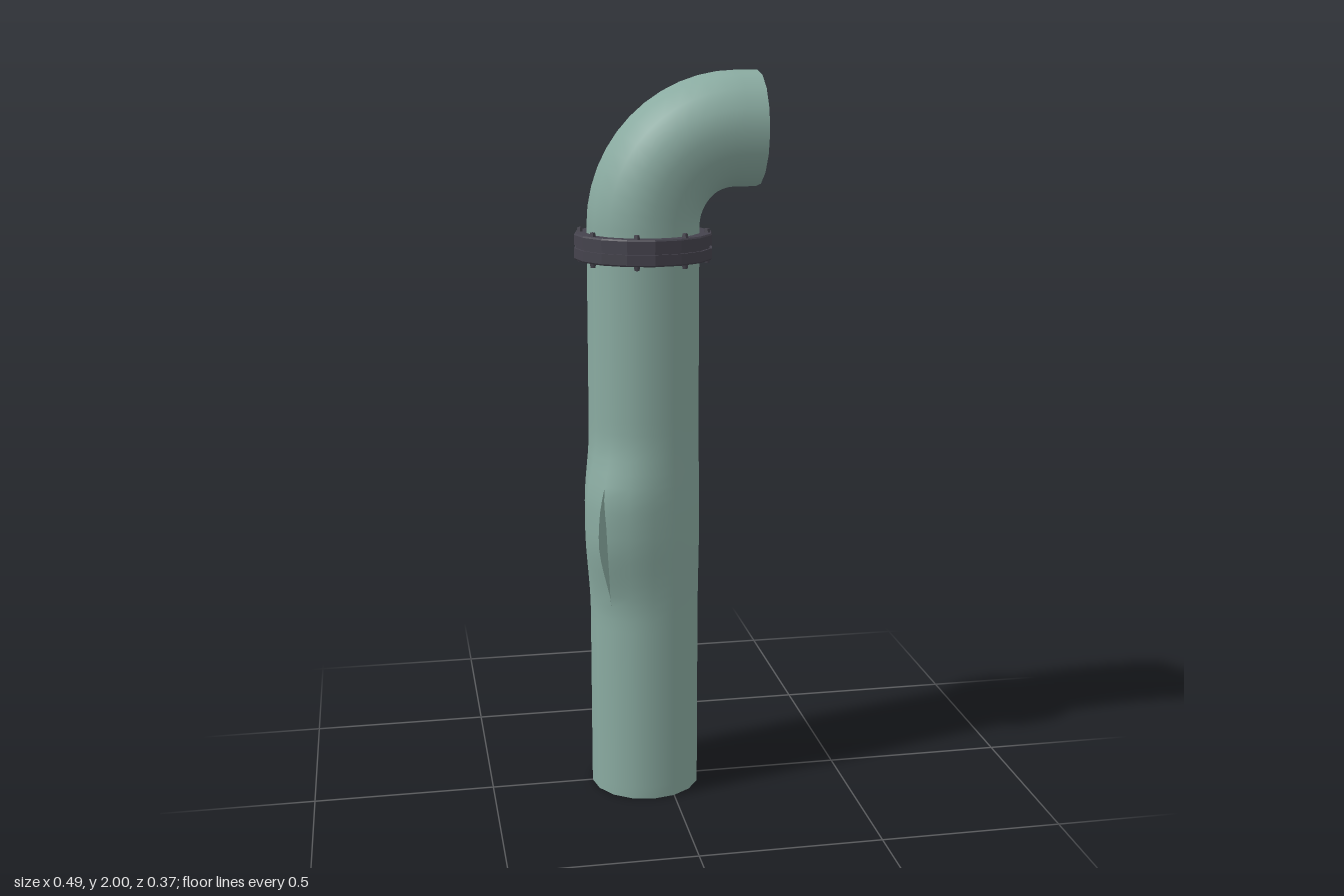
import * as THREE from 'three';
import { mergeVertices } from 'three/addons/utils/BufferGeometryUtils.js';

const R = 0.153, SIDES = 16, AXIS_X = -0.06;
const BEND_R = 0.25, BEND_Y = 1.597, OUTLET_X = 0.247;

const pipeMat = new THREE.MeshStandardMaterial({ color: 0x8aaba1, side: THREE.DoubleSide });
const ironMat = new THREE.MeshStandardMaterial({ color: 0x45434d, flatShading: true });

function add(parent, name, geometry, material, x = 0, y = 0, z = 0) {
  const mesh = new THREE.Mesh(geometry, material);
  mesh.name = name;
  mesh.position.set(x, y, z);
  parent.add(mesh);
  return mesh;
}

// Straight pipe with a swollen patch that has split open along the cylinder's seam
function burstPipe(height) {
  const seam = -Math.PI / 4, rows = 44;
  const geo = new THREE.CylinderGeometry(R, R, height, SIDES, rows, true, seam);
  geo.translate(0, height / 2, 0);
  const pos = geo.attributes.position;
  for (let i = 0; i < pos.count; i++) {
    const col = i % (SIDES + 1), y = pos.getY(i);
    let turn = (col / SIDES) * Math.PI * 2;
    const away = Math.min(turn, Math.PI * 2 - turn);
    const swell = THREE.MathUtils.smoothstep(y, 0.52, 0.77) * (1 - THREE.MathUtils.smoothstep(y, 0.84, 1.04));
    const r = R + swell * (0.003 + 0.037 * Math.exp(-((away / 0.7) ** 2)));
    // part the two lips of the split
    if (y > 0.59 && y < 0.9) {
      const gap = 0.075 * Math.sin((Math.PI * (y - 0.59)) / 0.31);
      if (col === 0) turn += gap;
      if (col === SIDES) turn -= gap;
    }
    pos.setXYZ(i, r * Math.sin(seam + turn), y, r * Math.cos(seam + turn));
  }
  geo.deleteAttribute('uv');
  geo.deleteAttribute('normal');
  const merged = mergeVertices(geo, 1e-4);
  merged.computeVertexNormals();
  return merged;
}

export function createModel() {
  const model = new THREE.Group();
  model.name = 'burstPipe';

  add(model, 'uprightPipe', burstPipe(1.54), pipeMat, AXIS_X);

  // Elbow: short collar, quarter bend, short outlet
  const elbow = new THREE.Group();
  elbow.name = 'elbow';
  model.add(elbow);
  const collarH = BEND_Y - 1.54;
  add(elbow, 'elbowCollar', new THREE.CylinderGeometry(R, R, collarH, SIDES, 1, true), pipeMat, AXIS_X, 1.54 + collarH / 2);
  const bendX = AXIS_X + BEND_R;
  const bend = new THREE.TorusGeometry(BEND_R, R, SIDES, 12, Math.PI / 2).rotateZ(Math.PI / 2);
  add(elbow, 'bend', bend, pipeMat, bendX, BEND_Y);
  const outletL = OUTLET_X - bendX;
  const outlet = new THREE.CylinderGeometry(R, R, outletL, SIDES, 1, true).rotateZ(Math.PI / 2);
  add(elbow, 'outlet', outlet, pipeMat, bendX + outletL / 2, BEND_Y + BEND_R);

  // Bolted joint: two bevelled flanges around a gasket
  const joint = new THREE.Group();
  joint.name = 'joint';
  joint.position.set(AXIS_X, 1.543, 0);
  model.add(joint);
  const profile = [[0.15, 0.004], [0.187, 0.004], [0.187, 0.031], [0.184, 0.035], [0.15, 0.035]]
    .map(([r, y]) => new THREE.Vector2(r, y));
  const upper = new THREE.LatheGeometry(profile, SIDES);
  add(joint, 'upperFlange', upper, ironMat);
  add(joint, 'lowerFlange', upper.clone().rotateX(Math.PI), ironMat);
  add(joint, 'gasket', new THREE.CylinderGeometry(0.181, 0.181, 0.01, SIDES, 1, true), ironMat);

  // Eight bolts, with a head above and a nut below
  const head = new THREE.CylinderGeometry(0.007, 0.009, 0.012, 6);
  for (let i = 0; i < 8; i++) {
    const a = Math.PI / 12 + (i * Math.PI) / 4;
    const x = 0.171 * Math.cos(a), z = 0.171 * Math.sin(a);
    add(joint, 'boltHead', head, ironMat, x, 0.04, z);
    add(joint, 'boltNut', head, ironMat, x, -0.04, z).rotation.x = Math.PI;
  }
  return model;
}
